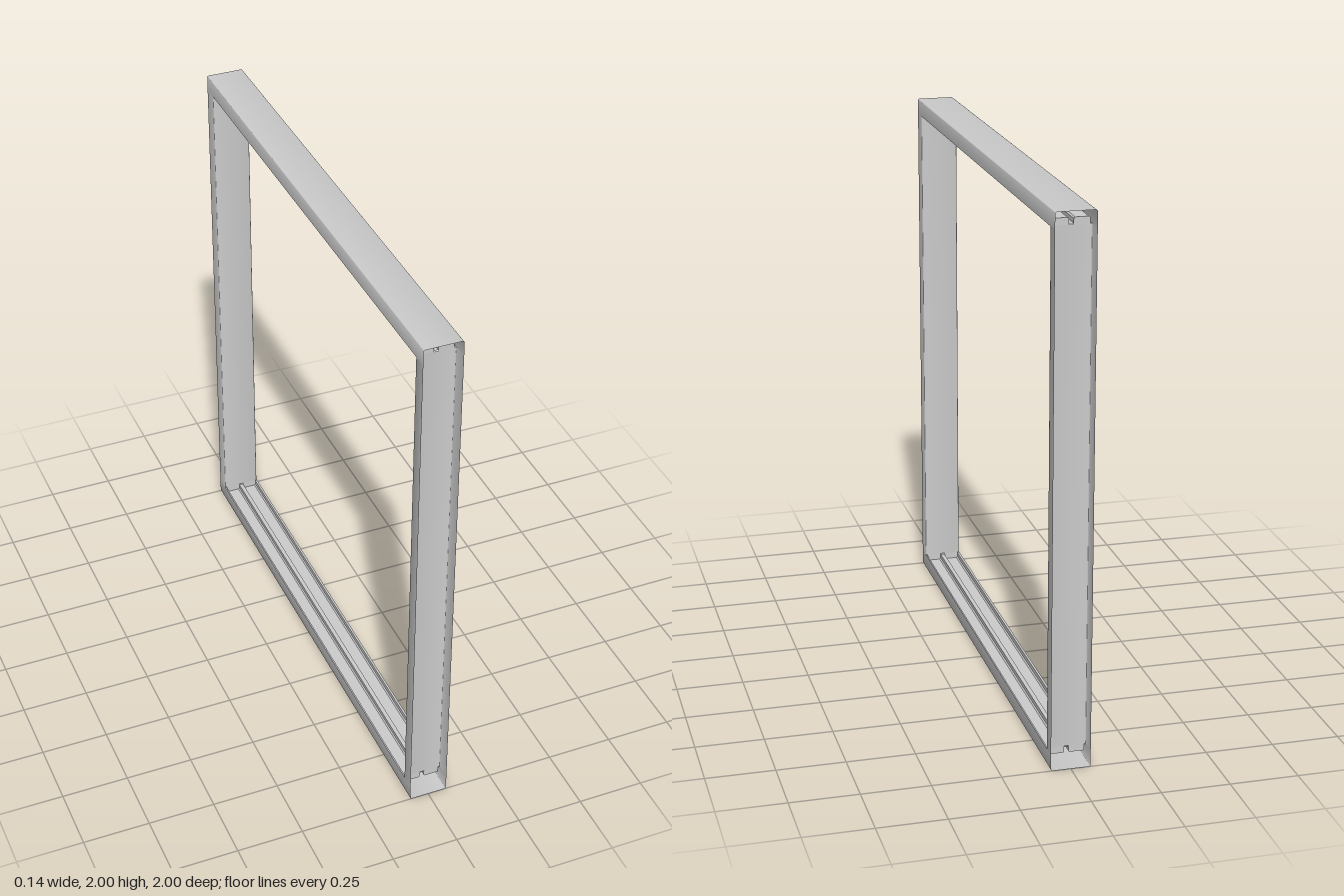
import * as THREE from 'three';
import { toCreasedNormals } from 'three/addons/utils/BufferGeometryUtils.js';

const W = 0.072;      // half width of the frame
const DEPTH = 0.06;   // depth of every channel
const BEND = 0.007;   // bend radius of the folded sheet
const FLOOR = 0.035;  // height of the track floor above the rail web
const RIB = 0.008;    // half width of the slit around the central rib

const sheet = new THREE.MeshStandardMaterial({ color: 0xcccccc, side: THREE.DoubleSide });

// Thin folded sheet: an open [x, y] profile drawn out along z
function foldedSheet(profile, length) {
  const geo = new THREE.PlaneGeometry(1, 1, profile.length - 1, 1);
  const pos = geo.attributes.position;
  for (let i = 0; i < pos.count; i++) {
    const p = profile[i % profile.length];
    pos.setXYZ(i, p[0], p[1], i < profile.length ? length / 2 : -length / 2);
  }
  return toCreasedNormals(geo, 0.6);
}

// U channel: web at y = 0, flanges up to DEPTH, rounded bends
function channelProfile() {
  const half = [];
  for (let i = 0; i <= 4; i++) {
    const a = (i / 4) * Math.PI / 2;
    half.push([W - BEND + BEND * Math.sin(a), BEND - BEND * Math.cos(a)]);
  }
  half.push([W, DEPTH]);
  return [...half.map(([x, y]) => [-x, y]).reverse(), ...half];
}

// Two track grooves with a raised rib between them
function trackProfile() {
  const g = W - BEND, c = 0.005;
  const half = [
    [RIB, DEPTH - 0.004], [RIB, FLOOR + c], [RIB + c, FLOOR],
    [g - c, FLOOR], [g, FLOOR + c], [g, DEPTH - 0.003], [W, DEPTH],
  ];
  return [...half.map(([x, y]) => [-x, y]).reverse(), ...half];
}

// Flat tab with two rounded corners at its free end
function tabGeometry() {
  const a = RIB, b = W - BEND, h = DEPTH - FLOOR, r = 0.005;
  const s = new THREE.Shape();
  s.moveTo(a, 0);
  s.lineTo(b, 0);
  s.lineTo(b, h - r);
  s.quadraticCurveTo(b, h, b - r, h);
  s.lineTo(a + r, h);
  s.quadraticCurveTo(a, h, a, h - r);
  s.closePath();
  return new THREE.ShapeGeometry(s, 4);
}

function add(parent, geo, name) {
  const mesh = new THREE.Mesh(geo, sheet);
  mesh.name = name;
  parent.add(mesh);
  return mesh;
}

export function createModel() {
  const model = new THREE.Group();
  model.name = 'channelFrame';

  // Rails: channel opening inward, lined with the double track
  const railGeo = foldedSheet(channelProfile(), 2);
  const trackGeo = foldedSheet(trackProfile(), 2 - 2 * DEPTH);
  for (const top of [false, true]) {
    const rail = new THREE.Group();
    rail.name = top ? 'topRail' : 'bottomRail';
    add(rail, railGeo, 'railChannel');
    add(rail, trackGeo, 'railTrack');
    if (top) {
      rail.rotation.z = Math.PI;
      rail.position.y = 2;
    }
    model.add(rail);
  }

  // Jambs: channel opening outward, with tabs reaching into the rails
  const jambLength = 2 - 2 * DEPTH;
  const jambGeo = foldedSheet(channelProfile(), jambLength).rotateX(Math.PI / 2);
  const tabGeo = tabGeometry();
  for (const side of [1, -1]) {
    const jamb = new THREE.Group();
    jamb.name = side > 0 ? 'frontJamb' : 'backJamb';
    add(jamb, jambGeo, 'jambChannel');
    for (const end of [1, -1]) {
      for (const x of [1, -1]) {
        const tab = add(jamb, tabGeo, 'jambTab');
        tab.scale.set(x, end, 1);
        tab.position.y = end * jambLength / 2;
      }
    }
    jamb.position.set(0, 1, side * (1 - DEPTH));
    if (side < 0) jamb.rotation.y = Math.PI;
    model.add(jamb);
  }
  return model;
}
